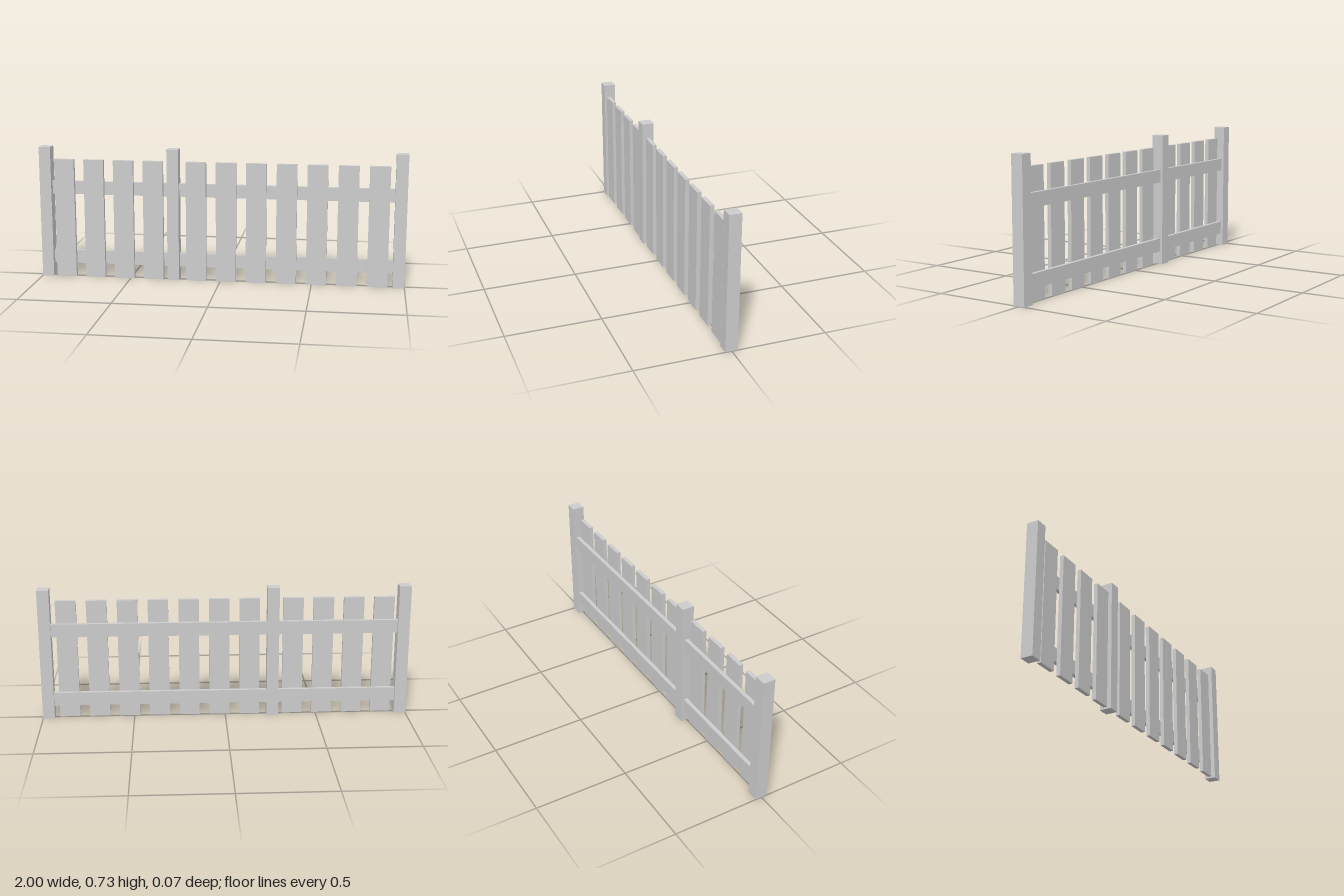
import * as THREE from 'three';

const material = new THREE.MeshStandardMaterial({ color: 0xcccccc, flatShading: true });

// Box given by its lower and upper limits on each axis
function board(name, [x0, x1], [y0, y1], [z0, z1]) {
  const mesh = new THREE.Mesh(new THREE.BoxGeometry(x1 - x0, y1 - y0, z1 - z0), material);
  mesh.position.set((x0 + x1) / 2, (y0 + y1) / 2, (z0 + z1) / 2);
  mesh.name = name;
  return mesh;
}

export function createModel() {
  const fence = new THREE.Group();
  fence.name = 'fence';

  // Square posts; the one at the left end sits slightly further forward
  const postWidth = 0.064;
  const posts = [[-1, -0.034], [-0.291, -0.034], [1 - postWidth, -0.031]];
  for (const [x, z] of posts) {
    fence.add(board('post', [x, x + postWidth], [0, 0.727], [z, z + 0.065]));
  }

  // Two horizontal rails in each bay between posts
  for (let i = 0; i < posts.length - 1; i++) {
    const span = [posts[i][0] + postWidth, posts[i + 1][0]];
    fence.add(board('lowerRail', span, [0.072, 0.146], [-0.02, 0.001]));
    fence.add(board('upperRail', span, [0.464, 0.536], [-0.02, 0.001]));
  }

  // Flat pickets fixed to the front of the rails: [first centre, count] per bay
  const spacing = 0.1645, halfWidth = 0.055;
  for (const [first, count] of [[-0.863, 4], [-0.133, 7]]) {
    for (let i = 0; i < count; i++) {
      const x = first + i * spacing;
      fence.add(board('picket', [x - halfWidth, x + halfWidth], [0, 0.66], [0.001, 0.023]));
    }
  }
  return fence;
}
